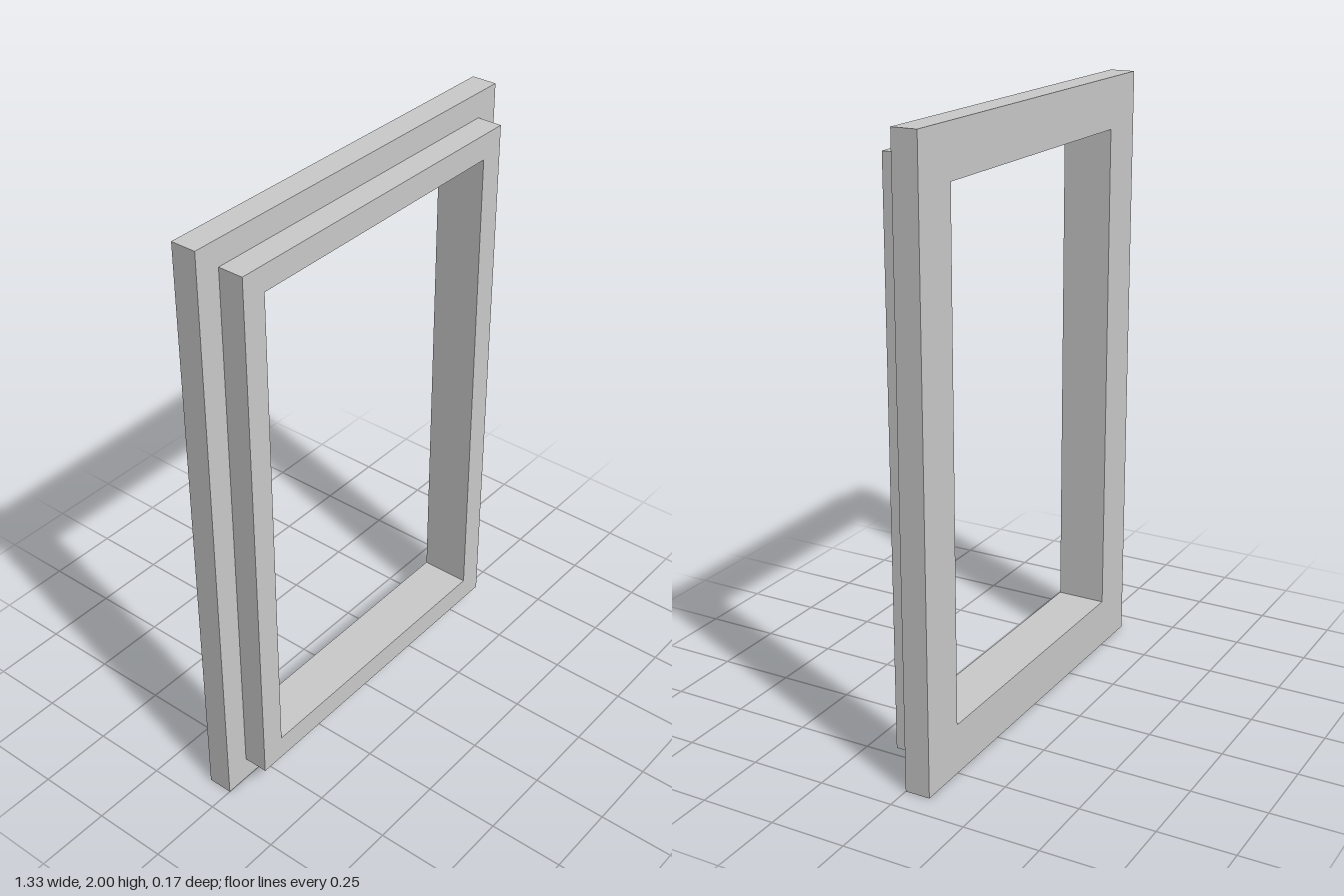
import * as THREE from 'three';

const U = 1 / 12; // one frame step: the depth of each layer and the width of each border

// Traces a rectangle centred on the frame
function rectangle(path, width, height) {
  const x = width / 2, y = height / 2;
  path.moveTo(-x, -y);
  path.lineTo(x, -y);
  path.lineTo(x, y);
  path.lineTo(-x, y);
  path.closePath();
  return path;
}

export function createModel() {
  const group = new THREE.Group();
  group.name = 'windowFrame';
  const material = new THREE.MeshStandardMaterial({ color: 0xcccccc });

  // One rectangular layer with the shared opening cut through it
  function addLayer(name, width, height, z) {
    const shape = rectangle(new THREE.Shape(), width, height);
    shape.holes.push(rectangle(new THREE.Path(), 12 * U, 20 * U));
    const geometry = new THREE.ExtrudeGeometry(shape, { depth: U, bevelEnabled: false });
    const mesh = new THREE.Mesh(geometry, material);
    mesh.name = name;
    mesh.position.set(0, 1, z);
    group.add(mesh);
  }

  // Wide flange at the back, narrower raised border in front
  addLayer('backFlange', 16 * U, 24 * U, -U);
  addLayer('frontBorder', 14 * U, 22 * U, 0);

  return group;
}
